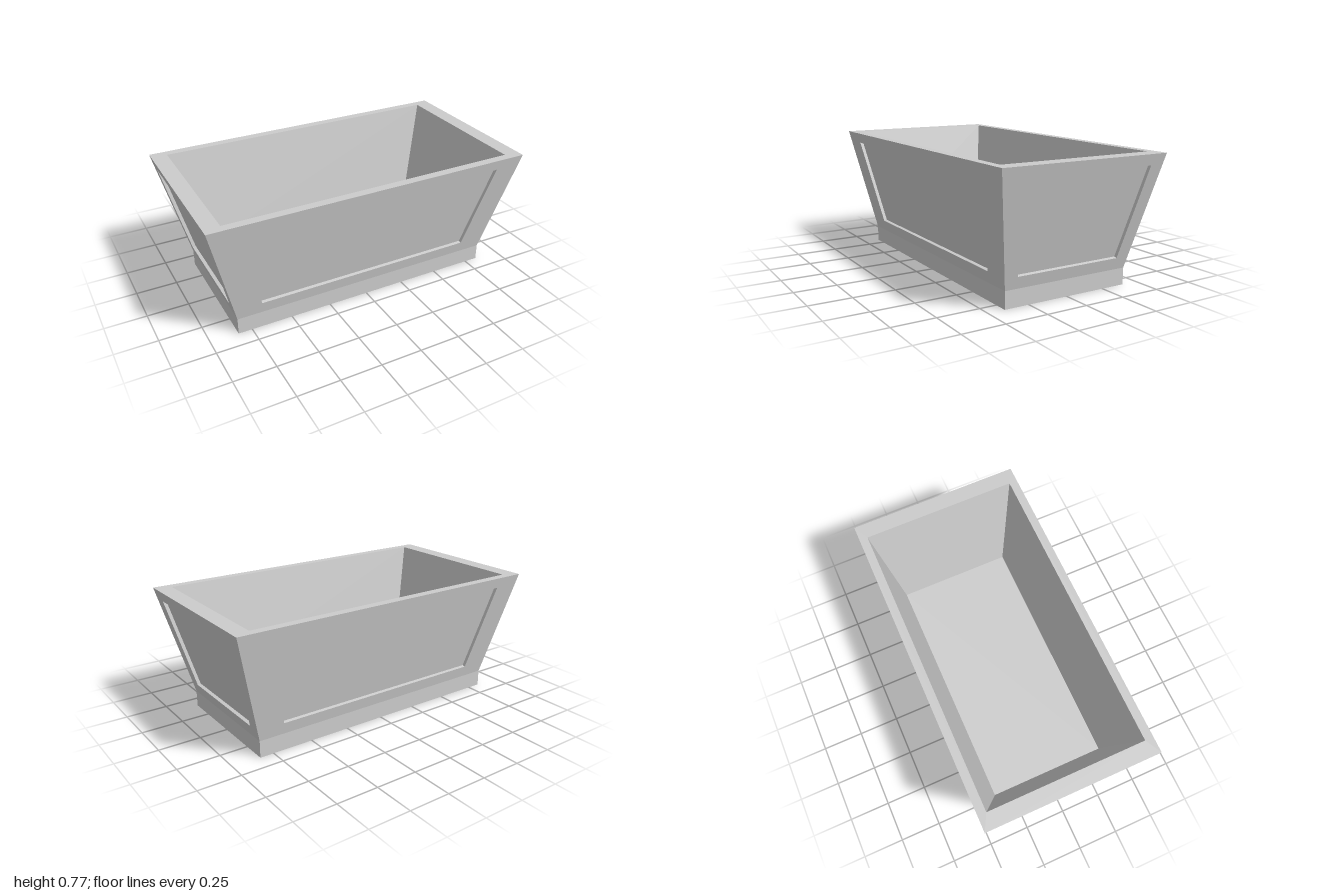
import * as THREE from 'three';

const BREAK = 0.1, TOP = 0.767;              // plinth top and rim heights
const BASE = { x: 0.833, z: 0.4 }, RIM = { x: 1, z: 0.527 };
const PANEL_LOW = 0.17, PANEL_HIGH = 0.703, RECESS = 0.02;

const material = new THREE.MeshStandardMaterial({ color: 0xcccccc, flatShading: true });

// Horizontal rectangle, counter-clockwise from above
const ring = (x, z, y) => [[-x, y, z], [x, y, z], [x, y, -z], [-x, y, -z]];

// Quads joining two four-cornered loops
const bridge = (a, b) => a.map((p, i) => {
  const j = (i + 1) % 4;
  return [p, a[j], b[j], b[i]];
});

function quadMesh(name, quads) {
  const points = quads.flatMap(([a, b, c, d]) => [a, b, c, a, c, d]).flat();
  const geometry = new THREE.BufferGeometry();
  geometry.setAttribute('position', new THREE.Float32BufferAttribute(points, 3));
  geometry.computeVertexNormals();
  const mesh = new THREE.Mesh(geometry, material);
  mesh.name = name;
  return mesh;
}

// Flared wall facing +z with a trapezoid panel sunk along the wall's normal
function wall(name, [baseW, rimW], [baseD, rimD], [panelLowW, panelHighW]) {
  const group = new THREE.Group();
  group.name = name;
  const run = rimD - baseD, rise = TOP - BREAK, length = Math.hypot(run, rise);
  const depthAt = (y) => baseD + run * (y - BREAK) / rise;
  const trapezoid = (low, high, y0, y1) => [
    [-low, y0, depthAt(y0)], [low, y0, depthAt(y0)],
    [high, y1, depthAt(y1)], [-high, y1, depthAt(y1)],
  ];
  const outline = trapezoid(baseW, rimW, BREAK, TOP);
  const opening = trapezoid(panelLowW, panelHighW, PANEL_LOW, PANEL_HIGH);
  const sunk = opening.map(([x, y, z]) =>
    [x, y + RECESS * run / length, z - RECESS * rise / length]);
  group.add(
    quadMesh('wallFrame', bridge(outline, opening)),
    quadMesh('panelReveal', bridge(opening, sunk)),
    quadMesh('recessedPanel', [sunk]),
  );
  return group;
}

export function createModel() {
  const model = new THREE.Group();
  model.name = 'planter';

  // Straight plinth with closed underside
  const ground = ring(BASE.x, BASE.z, 0);
  model.add(quadMesh('plinth', [
    ...bridge(ground, ring(BASE.x, BASE.z, BREAK)),
    [...ground].reverse(),
  ]));

  // Four flared outer walls
  const xs = [BASE.x, RIM.x], zs = [BASE.z, RIM.z];
  ['frontWall', 'leftWall', 'backWall', 'rightWall'].forEach((name, i) => {
    const side = i % 2
      ? wall(name, zs, xs, [0.331, 0.431])
      : wall(name, xs, zs, [0.685, 0.82]);
    side.rotation.y = i * Math.PI / 2;
    model.add(side);
  });

  // Flat rim, tapered cavity and its floor
  const mouth = ring(0.904, 0.476, TOP);
  const floor = ring(0.751, 0.362, 0.14);
  model.add(
    quadMesh('rim', bridge(ring(RIM.x, RIM.z, TOP), mouth)),
    quadMesh('innerWalls', bridge(mouth, floor)),
    quadMesh('floor', [floor]),
  );
  return model;
}
